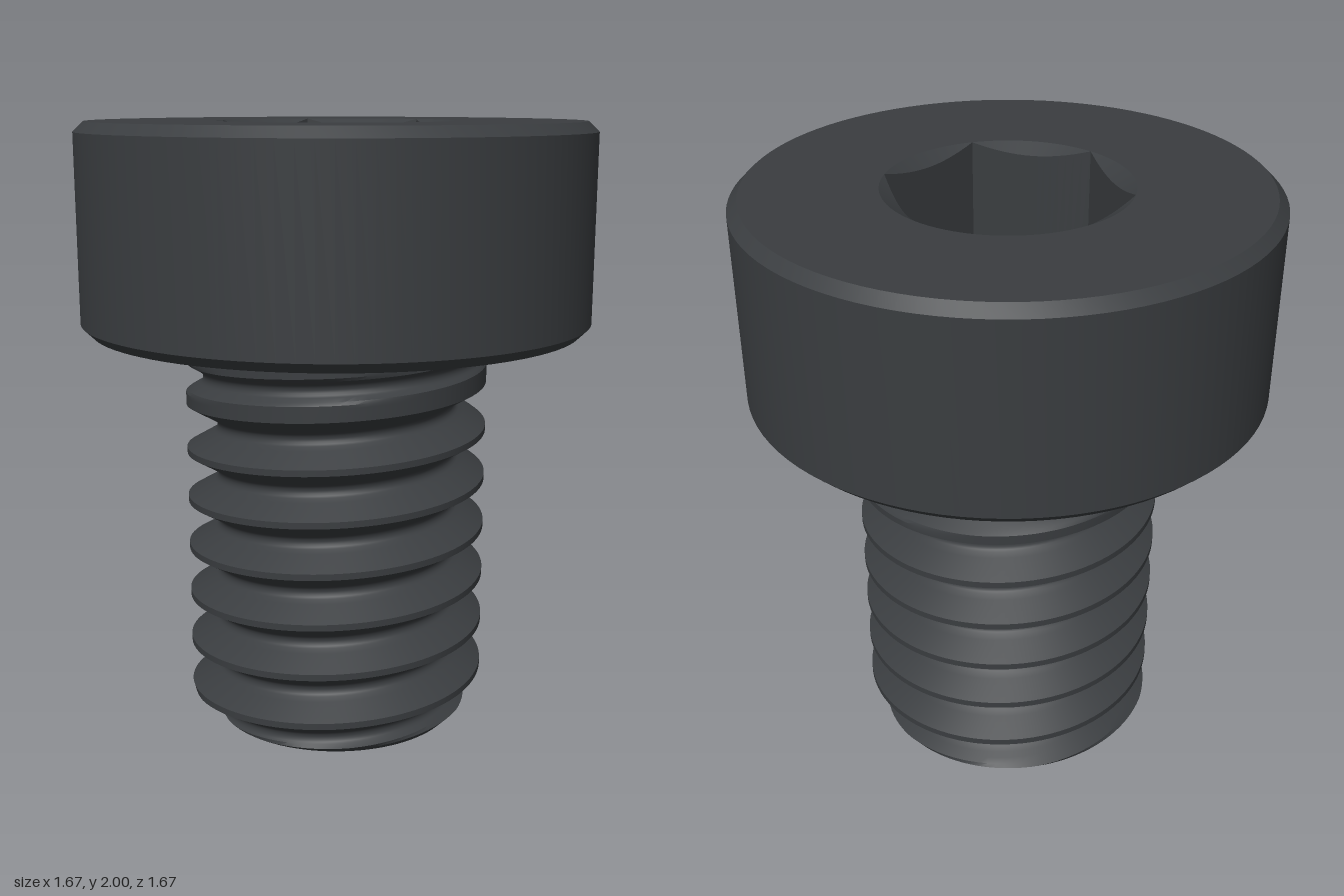
import * as THREE from 'three';
import { toCreasedNormals } from 'three/addons/utils/BufferGeometryUtils.js';

const SEGS = 96;
const PITCH = 1 / 6;
const HEAD_Y = 1.333;        // underside of the head
const THREAD_TOP = 1.293;    // where the fillet under the head starts
const RADIUS = 0.5;
const ROOT_ROUND = 0.0243;   // rounding radius in the thread root
const V_ROOT = 0.3737;       // radius of the sharp V before rounding

// Crease at a larger scale so that close vertices are not merged.
function crease(geometry, degrees) {
  geometry.scale(100, 100, 100);
  const result = toCreasedNormals(geometry, THREE.MathUtils.degToRad(degrees));
  return result.scale(0.01, 0.01, 0.01);
}

// Surface from closed rings: point(row, angle) gives [radius, y].
function ringSurface(rowCount, point) {
  const positions = [];
  const at = (row, seg) => {
    const a = (seg / SEGS) * Math.PI * 2;
    const [r, y] = point(row, a);
    return new THREE.Vector3(r * Math.cos(a), y, -r * Math.sin(a));
  };
  const triangle = (a, b, c) => {
    const e = 1e-6;
    if (a.distanceTo(b) < e || b.distanceTo(c) < e || c.distanceTo(a) < e) return;
    for (const v of [a, b, c]) positions.push(v.x, v.y, v.z);
  };
  for (let row = 0; row < rowCount - 1; row++) {
    for (let seg = 0; seg < SEGS; seg++) {
      const a = at(row, seg), b = at(row, seg + 1);
      const c = at(row + 1, seg + 1), d = at(row + 1, seg);
      triangle(a, b, c);
      triangle(a, c, d);
    }
  }
  const geometry = new THREE.BufferGeometry();
  geometry.setAttribute('position', new THREE.Float32BufferAttribute(positions, 3));
  return crease(geometry, 28);
}

// Right-hand thread radius, with run-out below the head and an end chamfer.
function threadRadius(angle, y) {
  const s = y - (PITCH * angle) / (Math.PI * 2) - PITCH / 2;
  const d = s - PITCH * Math.round(s / PITCH);
  let r = V_ROOT + Math.abs(d) * Math.sqrt(3);
  if (Math.abs(d) < ROOT_ROUND * Math.sin(Math.PI / 3)) {
    r = V_ROOT + 2 * ROOT_ROUND - Math.sqrt(ROOT_ROUND ** 2 - d * d);
  }
  r += 0.103 * THREE.MathUtils.clamp((y - d - 1.09) / 0.2, 0, 1);
  return Math.min(r, RADIUS, 0.408 + y);
}

function threadGeometry() {
  // Row offsets within one pitch, measured from the groove centre
  const half = [];
  for (const deg of [20, 40, 60]) half.push(ROOT_ROUND * Math.sin(THREE.MathUtils.degToRad(deg)));
  const start = half[2], edge = (RADIUS - V_ROOT) / Math.sqrt(3);
  for (let i = 1; i <= 5; i++) half.push(start + ((edge - start) * i) / 5);
  const offsets = [...half.map((h) => -h).reverse(), 0, ...half];

  const rows = [];
  for (let turn = -2; turn <= 8; turn++) {
    for (const o of offsets) rows.push((turn + 0.5) * PITCH + o);
  }
  // Row 0 is the centre of the flat end
  return ringSurface(rows.length + 1, (row, a) => {
    if (row === 0) return [0, 0];
    const y = THREE.MathUtils.clamp(rows[row - 1] + (PITCH * a) / (Math.PI * 2), 0, THREAD_TOP);
    return [threadRadius(a, y), y];
  });
}

function headGeometry() {
  const profile = [];
  // Fillet between shank and head
  const f = HEAD_Y - THREAD_TOP;
  for (let i = 0; i <= 6; i++) {
    const a = (i / 6) * Math.PI / 2;
    profile.push(new THREE.Vector2(RADIUS + f * (1 - Math.cos(a)), THREAD_TOP + f * Math.sin(a)));
  }
  // Chamfered cylinder, open at the socket
  for (const [r, y] of [[0.8, HEAD_Y], [0.833, 1.365], [0.833, 1.968], [0.8, 2], [0.3849, 2]]) {
    profile.push(new THREE.Vector2(r, y));
  }
  return crease(new THREE.LatheGeometry(profile, SEGS), 28);
}

function socketGeometry() {
  const corner = 0.3849, flat = 0.3333, floorY = 1.615;
  const hexRadius = (a) => {
    const sector = Math.PI / 3;
    return flat / Math.cos((a % sector) - sector / 2);
  };
  return ringSurface(4, (row, a) => {
    const r = hexRadius(a);
    if (row === 0) return [corner, 2];
    if (row === 1) return [r, 2 - (corner - r) * 0.58]; // countersink meets the flats
    if (row === 2) return [r, floorY];
    return [0, floorY];
  });
}

export function createModel() {
  const model = new THREE.Group();
  model.name = 'socketHeadScrew';
  const material = new THREE.MeshStandardMaterial({ color: 0x3a3d40 });
  const parts = {
    head: headGeometry(),
    hexSocket: socketGeometry(),
    threadedShank: threadGeometry(),
  };
  for (const [name, geometry] of Object.entries(parts)) {
    const mesh = new THREE.Mesh(geometry, material);
    mesh.name = name;
    model.add(mesh);
  }
  return model;
}
